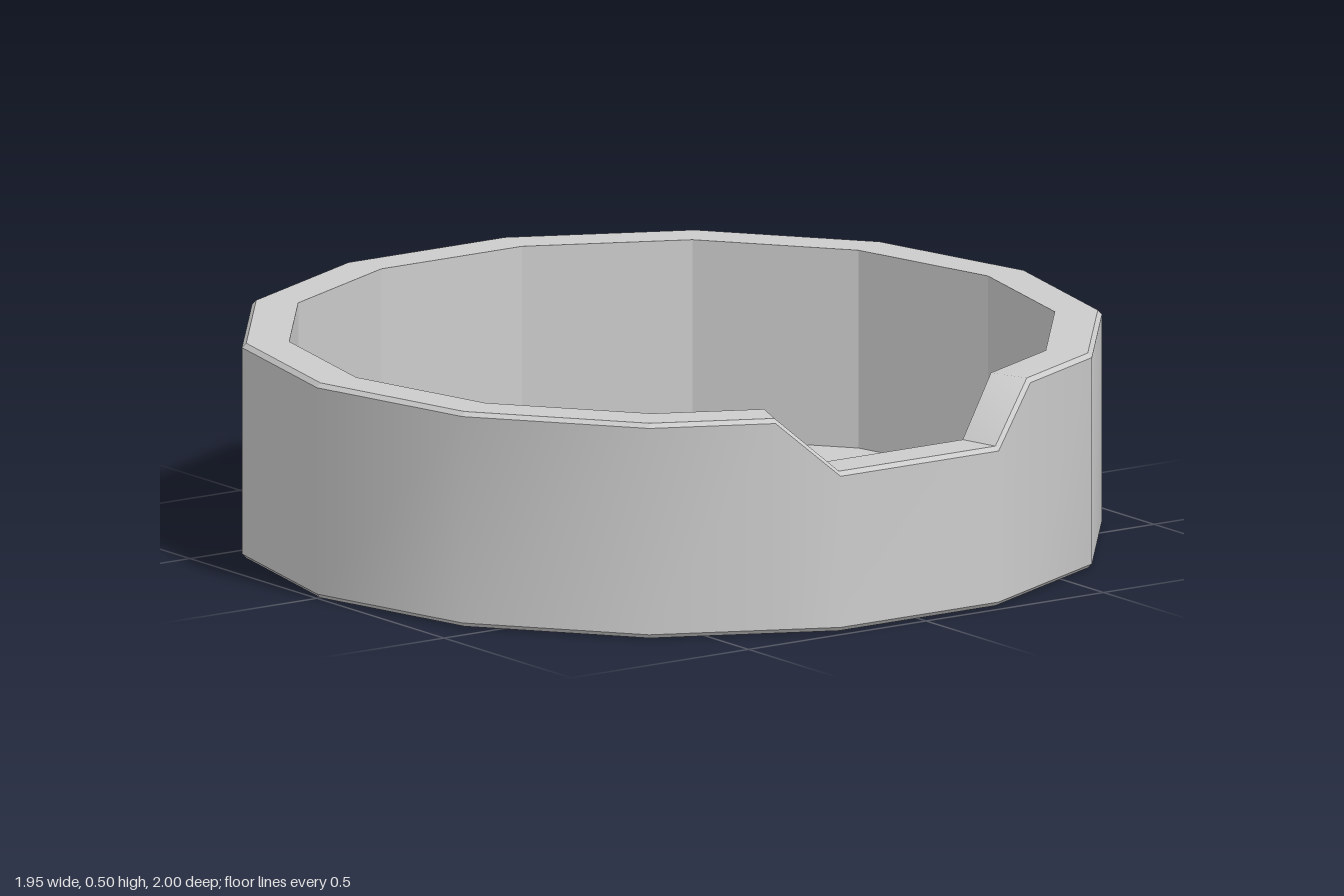
import * as THREE from 'three';

const SIDES = 14, OUTER = 1, INNER = 0.89, HEIGHT = 0.505, FLOOR = 0.04;
const BEVEL = 0.01, NOTCH = 0.13, RAMP = 0.34;

// Corner of the unit polygon; the two corners at +x carry the lowered notch
function corner(k) {
  const a = (k * Math.PI * 2) / SIDES;
  return { x: Math.sin(a), z: Math.cos(a), drop: k === 3 || k === 4 ? NOTCH : 0 };
}

// Points along one side; the sides next to the notch get a ramp end
function sidePoints(k) {
  const a = corner(k), b = corner((k + 1) % SIDES);
  const t = k === 2 ? 1 - RAMP : k === 4 ? RAMP : 0;
  if (!t) return [a, b];
  const mid = { x: a.x + (b.x - a.x) * t, z: a.z + (b.z - a.z) * t, drop: 0 };
  return [a, mid, b];
}

// Strip between two profile points [radius, height, follows the notch]
function strip(points, p, q, closed) {
  const pos = [], index = [], n = points.length;
  for (const c of points) {
    for (const [r, y, notched] of [p, q]) pos.push(c.x * r, y - (notched ? c.drop : 0), c.z * r);
  }
  for (let i = 0; i < (closed ? n : n - 1); i++) {
    const a = i * 2, b = ((i + 1) % n) * 2;
    index.push(a, b, b + 1, a, b + 1, a + 1);
  }
  const g = new THREE.BufferGeometry();
  g.setAttribute('position', new THREE.Float32BufferAttribute(pos, 3));
  g.setIndex(index);
  g.computeVertexNormals();
  return g;
}

export function createModel() {
  const model = new THREE.Group();
  model.name = 'notchedDish';
  const material = new THREE.MeshStandardMaterial({ color: 0xcccccc });
  const add = (name, geometry, parent = model) => {
    const mesh = new THREE.Mesh(geometry, material);
    mesh.name = name;
    parent.add(mesh);
    return mesh;
  };

  // Smooth outer wall, welded all the way round
  const ring = [];
  for (let k = 0; k < SIDES; k++) ring.push(...sidePoints(k).slice(0, -1));
  add('outerWall', strip(ring, [OUTER, BEVEL, false], [OUTER, HEIGHT - BEVEL, true], true));

  // Faceted bands, one strip per side
  const edge = OUTER - BEVEL;
  const bands = {
    bottomBevel: [[edge, 0, false], [OUTER, BEVEL, false]],
    topBevel: [[OUTER, HEIGHT - BEVEL, true], [edge, HEIGHT, true]],
    rim: [[edge, HEIGHT, true], [INNER, HEIGHT, true]],
    innerWall: [[INNER, HEIGHT, true], [INNER, FLOOR, false]],
  };
  for (const [name, [p, q]] of Object.entries(bands)) {
    const group = new THREE.Group();
    group.name = name;
    for (let k = 0; k < SIDES; k++) add(name + 'Side', strip(sidePoints(k), p, q, false), group);
    model.add(group);
  }

  // Inside floor and underside
  const disc = (r) => new THREE.CircleGeometry(r, SIDES, Math.PI / 2);
  add('floor', disc(INNER).rotateX(-Math.PI / 2)).position.y = FLOOR;
  add('underside', disc(edge).rotateX(Math.PI / 2));

  return model;
}
